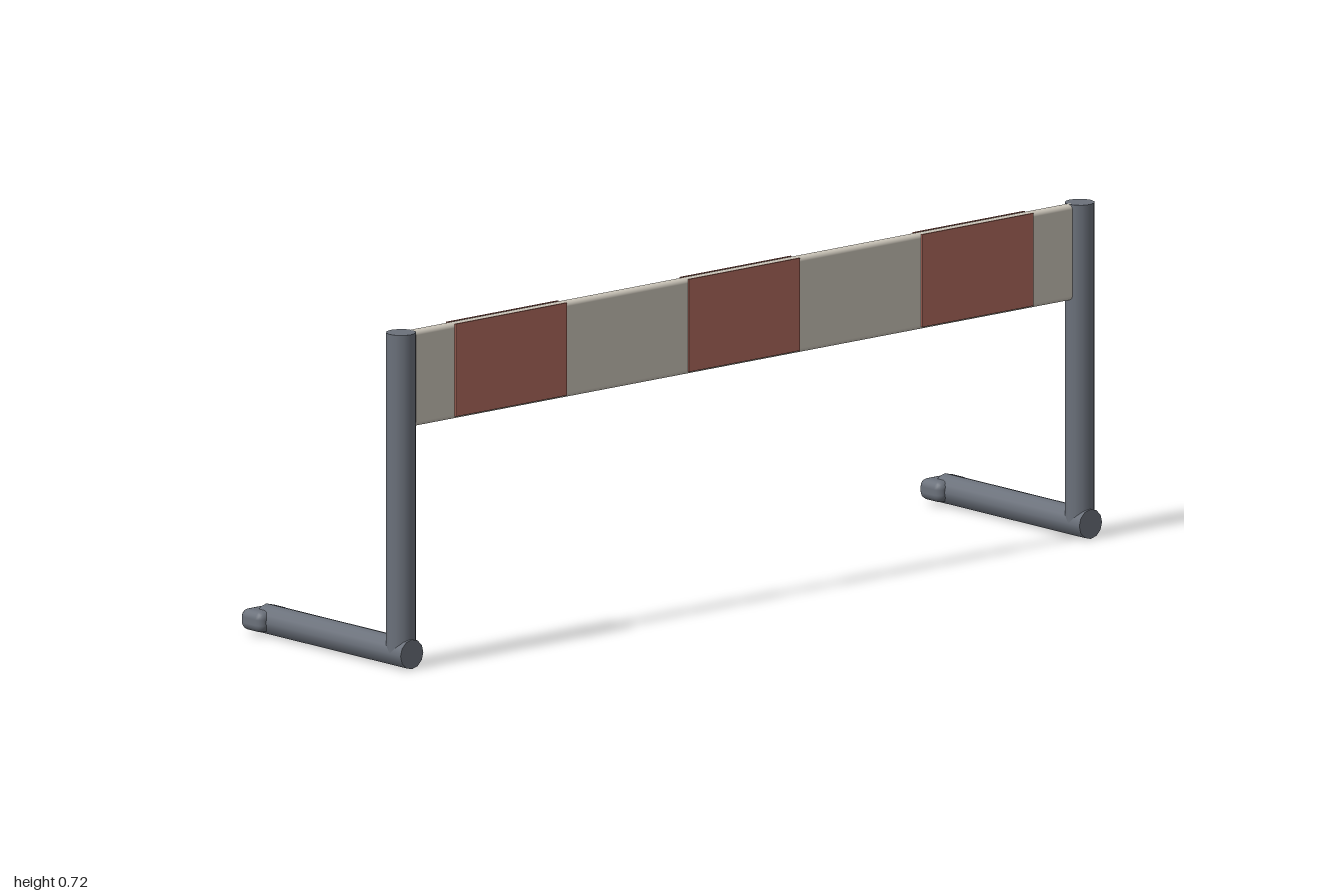
import * as THREE from 'three';
import { RoundedBoxGeometry } from 'three/addons/geometries/RoundedBoxGeometry.js';

export function createModel() {
  const model = new THREE.Group();
  model.name = 'barrier';

  const material = (name, color) => {
    const m = new THREE.MeshStandardMaterial({ color });
    m.name = name;
    return m;
  };
  const steel = material('slate grey steel', 0x6b717b);
  const white = material('warm white board', 0xcdc7bb);
  const red = material('dusty red stripe', 0xb36c5f);

  const add = (parent, name, geometry, mat, x, y, z) => {
    const mesh = new THREE.Mesh(geometry, mat);
    mesh.name = name;
    mesh.position.set(x, y, z);
    parent.add(mesh);
    return mesh;
  };

  const R = 0.032, postZ = 0.215;

  // Supports: upright post, foot tube running backwards, rubber end cap
  const postGeo = new THREE.CylinderGeometry(R, R, 0.69, 12);
  const footGeo = new THREE.CylinderGeometry(R, R, 0.465, 12).rotateX(Math.PI / 2);
  const capGeo = new RoundedBoxGeometry(0.094, 0.046, 0.07, 2, 0.017);
  for (const [side, s] of [['left', 1], ['right', -1]]) {
    const support = new THREE.Group();
    support.name = side + 'Support';
    add(support, 'post', postGeo, steel, s * 0.953, 0.377, postZ);
    add(support, 'foot', footGeo, steel, s * 0.953, R, 0.0175);
    add(support, 'footCap', capGeo, steel, s * 0.953, 0.032, -0.215);
    model.add(support);
  }

  // Cross board with rounded upper and lower edges
  const boardGeo = new RoundedBoxGeometry(1.88, 0.207, 0.024, 3, 0.01);
  add(model, 'board', boardGeo, white, 0, 0.6185, 0.213);

  // Stripe plates on both faces of the board
  const stripeGeo = new THREE.BoxGeometry(0.312, 0.2, 0.004);
  for (const x of [-0.655, 0, 0.655]) {
    add(model, 'frontStripe', stripeGeo, red, x, 0.621, 0.213 + 0.0135);
    add(model, 'backStripe', stripeGeo, red, x, 0.621, 0.213 - 0.0135);
  }

  return model;
}
